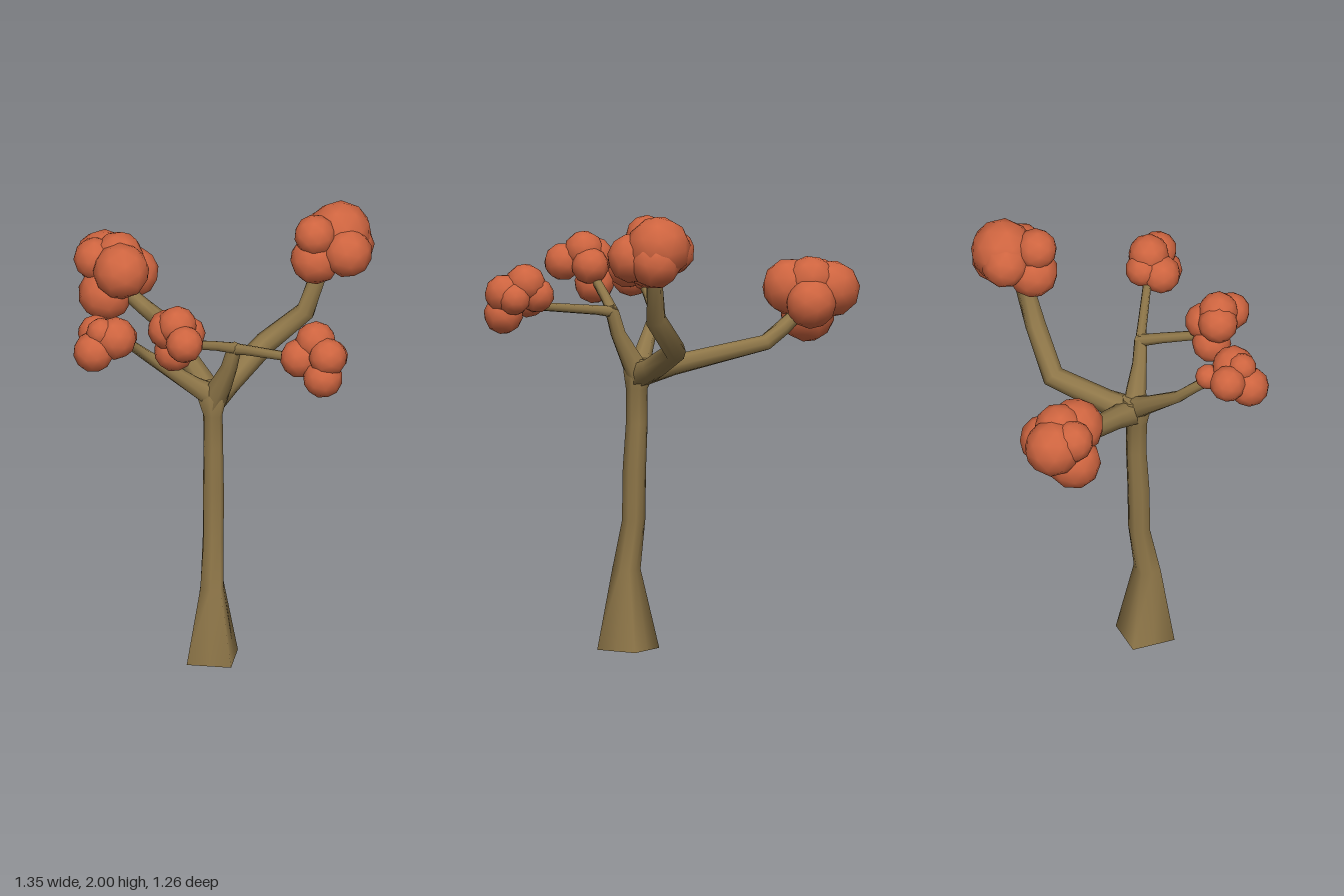
import * as THREE from 'three';

const bark = new THREE.MeshStandardMaterial({ color: 0x8f7749 });
bark.name = 'bark';
const foliage = new THREE.MeshStandardMaterial({ color: 0xcf6540 });
foliage.name = 'foliage';

// Lofts a rounded-square section along points [x, y, z, halfWidth, cornerScale]
function limb(name, pts, upright = false) {
  const P = pts.map(p => new THREE.Vector3(p[0], p[1], p[2]));
  const ref = upright ? new THREE.Vector3(1, 0, 0) : new THREE.Vector3(0, 1, 0);
  const pos = [], idx = [], N = 8;
  P.forEach((p, i) => {
    const t = new THREE.Vector3(0, 1, 0);
    if (!upright) {
      t.set(0, 0, 0);
      if (i > 0) t.add(P[i].clone().sub(P[i - 1]).normalize());
      if (i < P.length - 1) t.add(P[i + 1].clone().sub(P[i]).normalize());
      t.normalize();
    }
    const u = ref.clone().addScaledVector(t, -ref.dot(t)).normalize();
    const v = t.clone().cross(u);
    const h = pts[i][3], corner = pts[i][4] ?? 0.8;
    for (let k = 0; k < N; k++) {
      const a = k * Math.PI / 4;
      const r = k % 2 ? h * Math.SQRT2 * corner : h;
      const q = p.clone().addScaledVector(u, r * Math.cos(a)).addScaledVector(v, r * Math.sin(a));
      pos.push(q.x, q.y, q.z);
    }
  });
  for (let i = 0; i < P.length - 1; i++) {
    for (let k = 0; k < N; k++) {
      const a = i * N + k, b = i * N + (k + 1) % N;
      idx.push(a, b, b + N, a, b + N, a + N);
    }
  }
  // End caps with their own vertices, so the rims stay sharp
  for (const end of [0, P.length - 1]) {
    const base = pos.length / 3;
    for (let j = 0; j < N * 3; j++) pos.push(pos[end * N * 3 + j]);
    for (let k = 1; k < N - 1; k++) {
      if (end) idx.push(base, base + k, base + k + 1);
      else idx.push(base, base + k + 1, base + k);
    }
  }
  const g = new THREE.BufferGeometry();
  g.setAttribute('position', new THREE.Float32BufferAttribute(pos, 3));
  g.setIndex(idx);
  g.computeVertexNormals();
  const m = new THREE.Mesh(g, bark);
  m.name = name;
  return m;
}

// Leaf cluster made of overlapping low-poly balls [x, y, z, radius]
function cluster(name, balls) {
  const group = new THREE.Group();
  group.name = name;
  balls.forEach(([x, y, z, r], i) => {
    const m = new THREE.Mesh(new THREE.IcosahedronGeometry(r, 1), foliage);
    m.position.set(x, y, z);
    m.rotation.set(i * 0.7, i * 1.3, 0.4);
    m.name = 'leafBall';
    group.add(m);
  });
  return group;
}

export function createModel() {
  const tree = new THREE.Group();
  tree.name = 'tree';

  // Trunk with a square flared foot
  tree.add(limb('trunk', [
    [0.03, 0, 0.17, 0.098, 1], [0.03, 0.35, 0.18, 0.05, 0.9], [0.03, 0.57, 0.142, 0.046],
    [0.03, 0.8, 0.138, 0.046], [0.028, 1.0, 0.127, 0.043], [0.026, 1.15, 0.128, 0.043],
    [0.02, 1.23, 0.115, 0.066], [0.02, 1.285, 0.11, 0.045],
  ], true));

  // Branches
  tree.add(limb('backRightBranch', [
    [0.03, 1.21, 0.12, 0.055], [-0.05, 1.255, -0.01, 0.045], [-0.27, 1.355, -0.35, 0.035],
    [-0.36, 1.41, -0.38, 0.032], [-0.46, 1.48, -0.41, 0.028],
  ]));
  tree.add(limb('backLeftBranch', [
    [0.02, 1.21, 0.12, 0.055], [0.08, 1.255, 0.01, 0.048], [0.21, 1.36, -0.19, 0.045],
    [0.385, 1.52, -0.2, 0.042], [0.46, 1.76, -0.24, 0.034],
  ]));
  tree.add(limb('frontRightBranch', [
    [0.04, 1.22, 0.11, 0.055], [-0.05, 1.285, 0.145, 0.04], [-0.25, 1.445, 0.21, 0.025],
    [-0.31, 1.53, 0.29, 0.022], [-0.38, 1.59, 0.38, 0.018],
  ]));
  tree.add(limb('frontStem', [
    [0.02, 1.2, 0.115, 0.055], [0.06, 1.29, 0.14, 0.045], [0.105, 1.4, 0.175, 0.032],
    [0.13, 1.5, 0.19, 0.028], [0.133, 1.525, 0.192, 0.012],
  ]));
  tree.add(limb('frontTwig', [
    [0.14, 1.495, 0.18, 0.025], [0.06, 1.54, 0.265, 0.021], [-0.08, 1.61, 0.42, 0.018],
  ]));
  tree.add(limb('frontLeftTwig', [
    [0.12, 1.495, 0.185, 0.025], [0.2, 1.51, 0.225, 0.021], [0.48, 1.55, 0.37, 0.018],
  ]));

  // Leaf clusters
  tree.add(cluster('backRightLeaves', [
    [-0.555, 1.57, -0.51, 0.125], [-0.42, 1.52, -0.49, 0.112], [-0.455, 1.58, -0.36, 0.125],
    [-0.53, 1.45, -0.4, 0.12], [-0.58, 1.6, -0.43, 0.095], [-0.48, 1.61, -0.45, 0.11],
  ]));
  tree.add(cluster('backLeftLeaves', [
    [0.52, 1.86, -0.3, 0.142], [0.43, 1.895, -0.18, 0.092], [0.43, 1.775, -0.195, 0.112],
    [0.57, 1.815, -0.195, 0.11], [0.56, 1.8, -0.31, 0.112], [0.45, 1.84, -0.32, 0.105],
  ]));
  tree.add(cluster('frontRightLeaves', [
    [-0.36, 1.62, 0.425, 0.095], [-0.45, 1.565, 0.46, 0.09], [-0.455, 1.61, 0.36, 0.08],
    [-0.335, 1.58, 0.315, 0.056], [-0.42, 1.65, 0.44, 0.065],
  ]));
  tree.add(cluster('frontLeaves', [
    [-0.08, 1.72, 0.47, 0.088], [-0.125, 1.69, 0.45, 0.088], [-0.035, 1.67, 0.55, 0.083],
    [-0.1, 1.575, 0.43, 0.087], [-0.045, 1.66, 0.415, 0.082],
  ]));
  tree.add(cluster('frontLeftLeaves', [
    [0.52, 1.65, 0.39, 0.09], [0.455, 1.58, 0.42, 0.087], [0.585, 1.61, 0.46, 0.085],
    [0.565, 1.515, 0.475, 0.087], [0.49, 1.6, 0.35, 0.077], [0.595, 1.59, 0.4, 0.07],
  ]));
  return tree;
}
